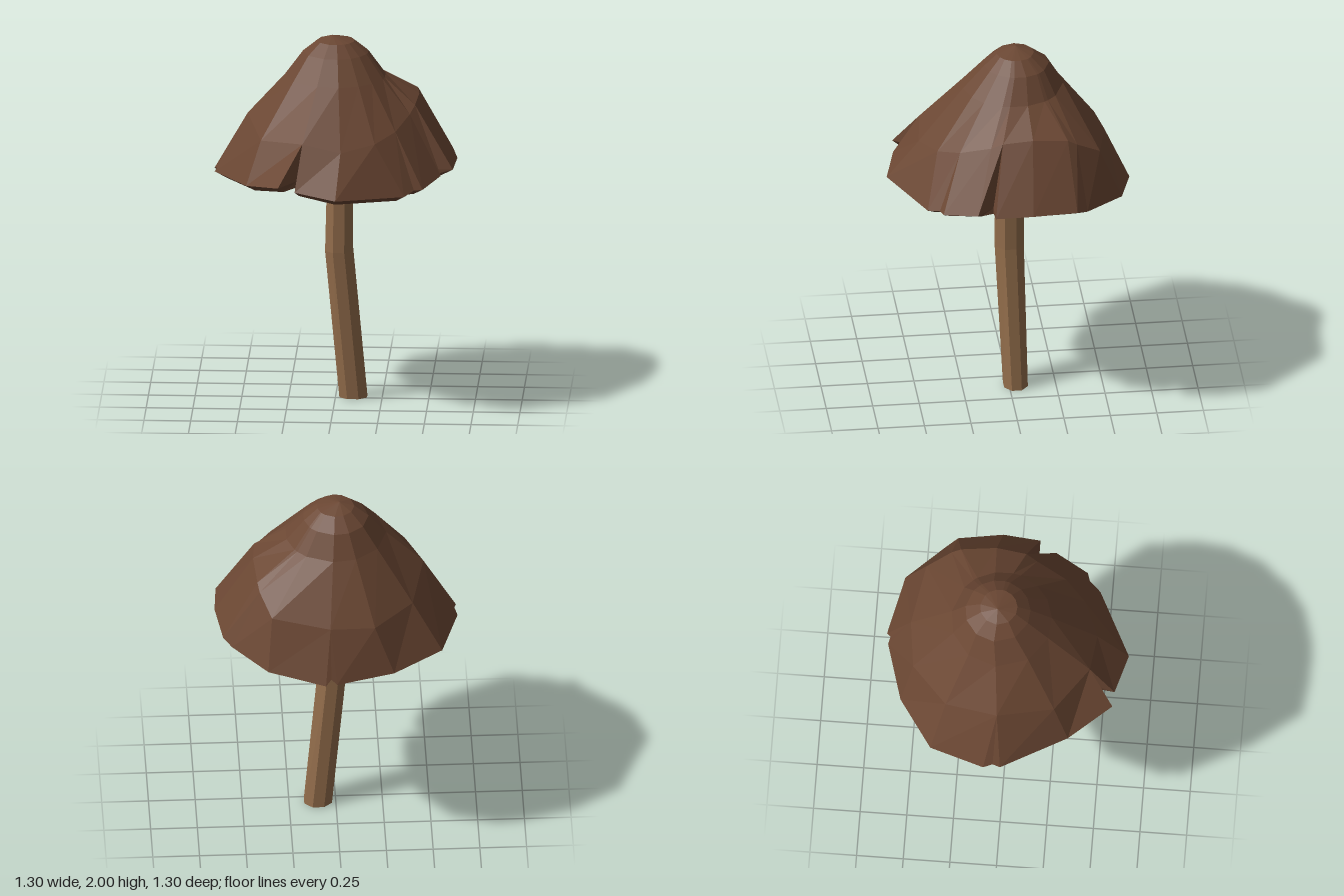
import * as THREE from 'three';

// One row per rib round the cap: rim x, y, z, then shoulder x, y, z.
// Ribs that share a shoulder point form the torn notches in the edge.
const RIBS = [
  [-0.19, 1.30, 0.59, -0.155, 1.53, 0.455],
  [0.03, 1.27, 0.65, 0.05, 1.49, 0.48],
  [0.39, 1.25, 0.47, 0.23, 1.52, 0.40],
  [0.44, 1.27, 0.41, 0.335, 1.56, 0.29],
  [0.485, 1.27, 0.395, 0.335, 1.56, 0.29],
  [0.575, 1.30, 0.22, 0.405, 1.615, 0.13],
  [0.51, 1.31, 0.13, 0.43, 1.65, 0.07],
  [0.635, 1.31, 0.13, 0.43, 1.65, 0.07],
  [0.65, 1.32, -0.07, 0.445, 1.67, -0.09],
  [0.615, 1.31, -0.31, 0.43, 1.65, -0.28],
  [0.57, 1.29, -0.37, 0.42, 1.62, -0.33],
  [0.385, 1.27, -0.575, 0.36, 1.54, -0.46],
  [0.08, 1.22, -0.65, 0.05, 1.50, -0.52],
  [0.05, 1.25, -0.63, 0.05, 1.50, -0.52],
  [0.02, 1.22, -0.64, 0.05, 1.50, -0.52],
  [-0.29, 1.22, -0.55, -0.19, 1.48, -0.49],
  [-0.555, 1.23, -0.37, -0.40, 1.50, -0.30],
  [-0.65, 1.245, -0.08, -0.47, 1.57, -0.02],
  [-0.635, 1.26, -0.03, -0.47, 1.57, -0.02],
  [-0.645, 1.25, 0.01, -0.47, 1.57, -0.02],
  [-0.46, 1.27, 0.36, -0.385, 1.50, 0.28],
  [-0.28, 1.32, 0.585, -0.155, 1.53, 0.455],
  [-0.18, 1.34, 0.50, -0.155, 1.53, 0.455],
];

// Skin a list of closed rings (each running from +z towards +x), bottom to top
function loft(rings) {
  const pos = [];
  const tri = (...pts) => pts.forEach((p) => pos.push(...p));
  for (let k = 0; k < rings.length - 1; k++) {
    const lo = rings[k], hi = rings[k + 1], n = lo.length;
    for (let i = 0; i < n; i++) {
      const j = (i + 1) % n;
      tri(lo[i], lo[j], hi[j]);
      tri(lo[i], hi[j], hi[i]);
    }
  }
  const g = new THREE.BufferGeometry();
  g.setAttribute('position', new THREE.Float32BufferAttribute(pos, 3));
  g.computeVertexNormals();
  return g;
}

export function createModel() {
  const group = new THREE.Group();
  const material = (name, color) => {
    const m = new THREE.MeshStandardMaterial({ color, flatShading: true, side: THREE.DoubleSide });
    m.name = name;
    return m;
  };
  const add = (name, rings, mat) => {
    const mesh = new THREE.Mesh(loft(rings), mat);
    mesh.name = name;
    group.add(mesh);
  };
  const capBrown = material('cap brown', 0x6b4733);
  const gillOlive = material('gill olive', 0xbf9834);
  const stemTan = material('stem tan', 0x946e4c);

  // Cap: rim, shoulder, then rounder rings up to the crown
  const rim = RIBS.map((r) => r.slice(0, 3));
  const shoulder = RIBS.map((r) => r.slice(3));
  const ringAt = (radius, y, cz) => shoulder.map(([x, , z]) => {
    const a = Math.atan2(x, z);
    return [Math.sin(a) * radius, y, cz + Math.cos(a) * radius];
  });
  add('cap', [
    rim, shoulder,
    ringAt(0.27, 1.785, -0.03),
    ringAt(0.175, 1.91, -0.05),
    ringAt(0.10, 1.972, -0.045),
    RIBS.map(() => [-0.02, 2, -0.05]),
  ], capBrown);

  // Lip: thick edge rolled under the rim, with a rounder inner edge
  const lipBottom = rim.map(([x, y, z]) => {
    const r = Math.hypot(x, z), s = Math.max(r - 0.065, 0.525) / r;
    return [x * s, y - 0.035, z * s];
  });
  const lipInner = rim.map(([x, y, z]) => {
    const s = 0.5 / Math.hypot(x, z);
    return [x * s - 0.015, Math.min(y, 1.31) + 0.015, z * s + 0.015];
  });
  add('lip', [lipInner, lipBottom, rim], capBrown);

  // Gills: shallow hollow cone under the cap
  add('gills', [RIBS.map(() => [0.02, 1.445, -0.02]), lipInner], gillOlive);

  // Stem: bent eight-sided stalk, hollow at the foot
  const stemRing = (x, y, z, rx, rz) => Array.from({ length: 8 }, (_, i) => {
    const a = ((i + 0.5) / 8) * Math.PI * 2;
    return [x + Math.sin(a) * rx, y, z + Math.cos(a) * rz];
  });
  add('stem', [
    stemRing(0.095, 0, -0.035, 0.08, 0.069),
    stemRing(0.02, 0.82, -0.01, 0.08, 0.082),
    stemRing(0.025, 1.24, -0.013, 0.074, 0.08),
    stemRing(0.027, 1.44, -0.015, 0.068, 0.072),
  ], stemTan);

  return group;
}
